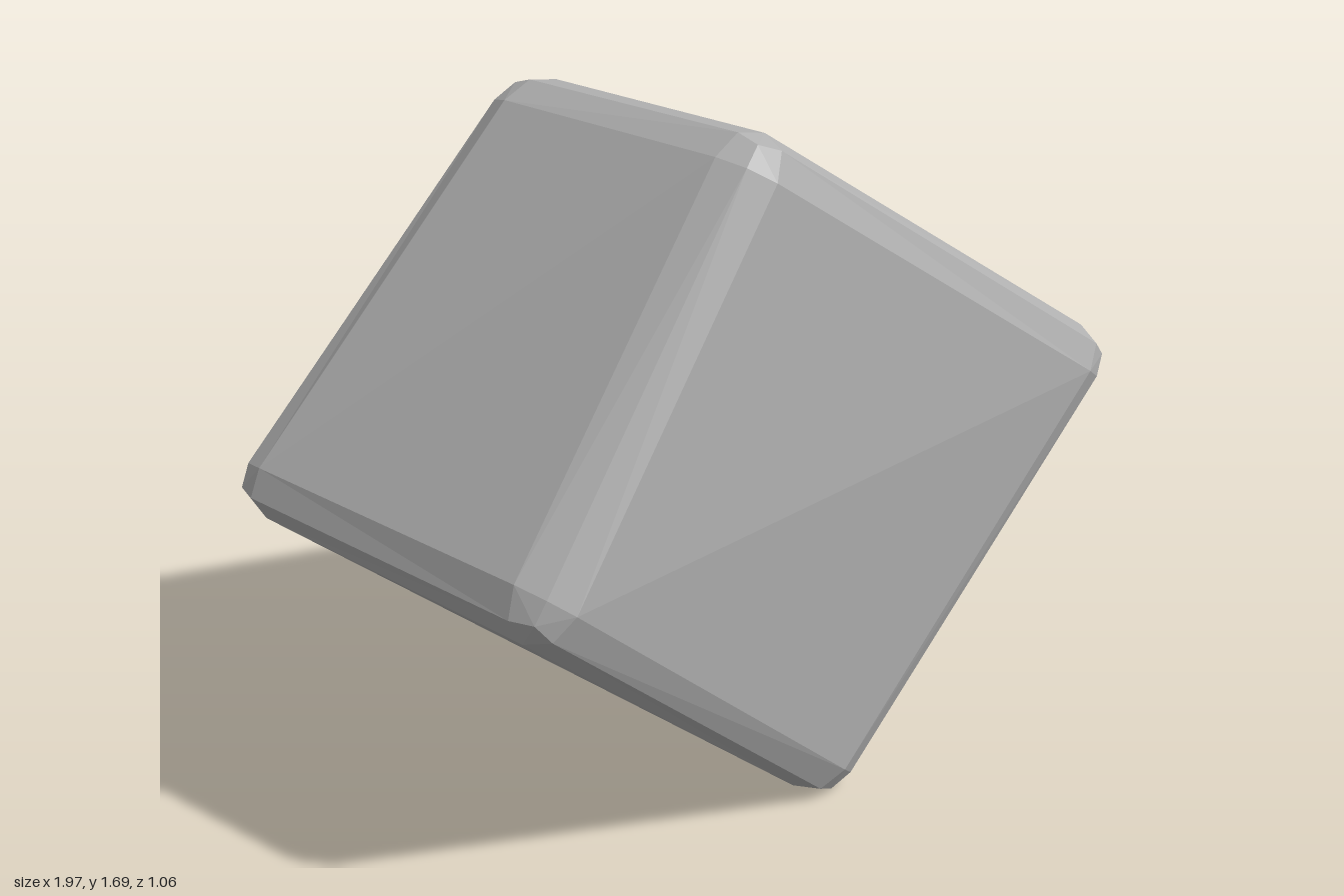
import * as THREE from 'three';

// Sharp corners of a skewed block. Index bits: 1 = up-right, 2 = up-left, 4 = front.
const CORNERS = [
  [0.04, 0.08, -0.52], [1.04, 1.02, -0.52], [-1.04, 0.84, -0.54], [-0.2, 1.72, -0.46],
  [0.06, -0.04, 0.45], [0.98, 0.96, 0.54], [-0.93, 0.79, 0.48], [-0.23, 1.75, 0.45],
].map((c) => new THREE.Vector3(...c));

const BEVEL = 0.1;
const EDGE_INSET = BEVEL * (1 - Math.SQRT1_2);
const CORNER_INSET = BEVEL * (1 - 1 / Math.sqrt(3));

// Move a corner inward along its three edges
function inset(corner, amounts) {
  const p = CORNERS[corner].clone();
  amounts.forEach((d, axis) => {
    const dir = CORNERS[corner ^ (1 << axis)].clone().sub(CORNERS[corner]).normalize();
    p.addScaledVector(dir, d);
  });
  return p;
}
const AXES = [0, 1, 2];
const facePoint = (c, a) => inset(c, AXES.map((i) => (i === a ? 0 : BEVEL)));
const edgePoint = (c, a) => inset(c, AXES.map((i) => (i === a ? BEVEL : EDGE_INSET)));
const tipPoint = (c) => inset(c, AXES.map(() => CORNER_INSET));

function bevelledBlock() {
  const positions = [];
  const middle = new THREE.Vector3(0, 0.87, 0);

  // Add a triangle turned to face away from the middle
  function triangle(a, b, c) {
    const normal = b.clone().sub(a).cross(c.clone().sub(a));
    const outward = a.clone().add(b).add(c).divideScalar(3).sub(middle);
    const order = normal.dot(outward) > 0 ? [a, b, c] : [a, c, b];
    order.forEach((p) => positions.push(p.x, p.y, p.z));
  }
  function quad(a, b, c, d) { // split along a-c
    triangle(a, b, c);
    triangle(a, c, d);
  }

  // Large faces, with the split direction of each [low side, high side]
  const flip = [[true, true], [true, false], [false, true]];
  for (const a of AXES) {
    const b = 1 << ((a + 1) % 3), c = 1 << ((a + 2) % 3);
    for (const side of [0, 1]) {
      const base = side << a;
      const p = [base, base | b, base | b | c, base | c].map((i) => facePoint(i, a));
      if (flip[a][side]) p.push(p.shift());
      quad(...p);
    }
  }

  for (let c = 0; c < 8; c++) {
    for (const a of AXES) {
      const b = (a + 1) % 3, d = (a + 2) % 3;
      // Rounded corner patch
      quad(facePoint(c, a), edgePoint(c, b), tipPoint(c), edgePoint(c, d));
      // Two strips along each edge, made once per edge
      const other = c ^ (1 << a);
      if (other > c) {
        for (const f of [b, d]) {
          quad(facePoint(c, f), edgePoint(c, a), edgePoint(other, a), facePoint(other, f));
        }
      }
    }
  }

  const geometry = new THREE.BufferGeometry();
  geometry.setAttribute('position', new THREE.Float32BufferAttribute(positions, 3));
  geometry.computeVertexNormals(); // unshared corners give flat facets
  return geometry;
}

export function createModel() {
  const group = new THREE.Group();
  group.name = 'stoneBlock';
  const stone = new THREE.MeshStandardMaterial({ color: 0xb0b0b0 });
  stone.name = 'stone grey';
  const block = new THREE.Mesh(bevelledBlock(), stone);
  block.name = 'bevelledBlock';
  group.add(block);
  return group;
}
